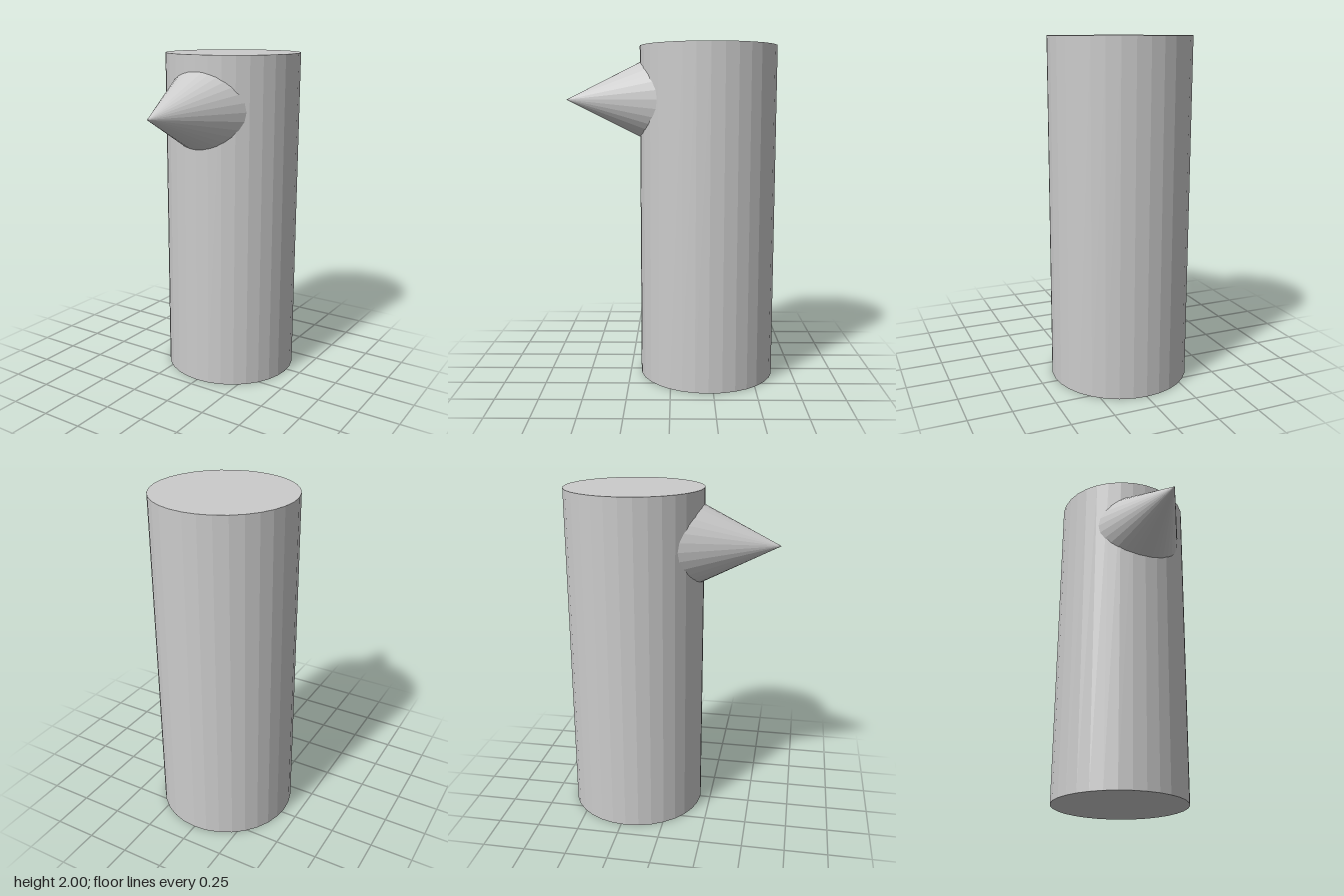
import * as THREE from 'three';

export function createModel() {
  const group = new THREE.Group();
  const material = new THREE.MeshStandardMaterial({ color: 0xcccccc, flatShading: true });

  // Upright round post
  const post = new THREE.Mesh(new THREE.CylinderGeometry(0.408, 0.408, 2, 32), material);
  post.name = 'post';
  post.position.set(0, 1, -0.222);
  group.add(post);

  // Cone pointing forward, its base sunk into the post
  const tipZ = 0.63, length = 0.61;
  const spike = new THREE.Mesh(new THREE.ConeGeometry(length * 0.498, length, 32), material);
  spike.name = 'spike';
  spike.rotation.x = Math.PI / 2;
  spike.position.set(0, 1.685, tipZ - length / 2);
  group.add(spike);

  return group;
}
